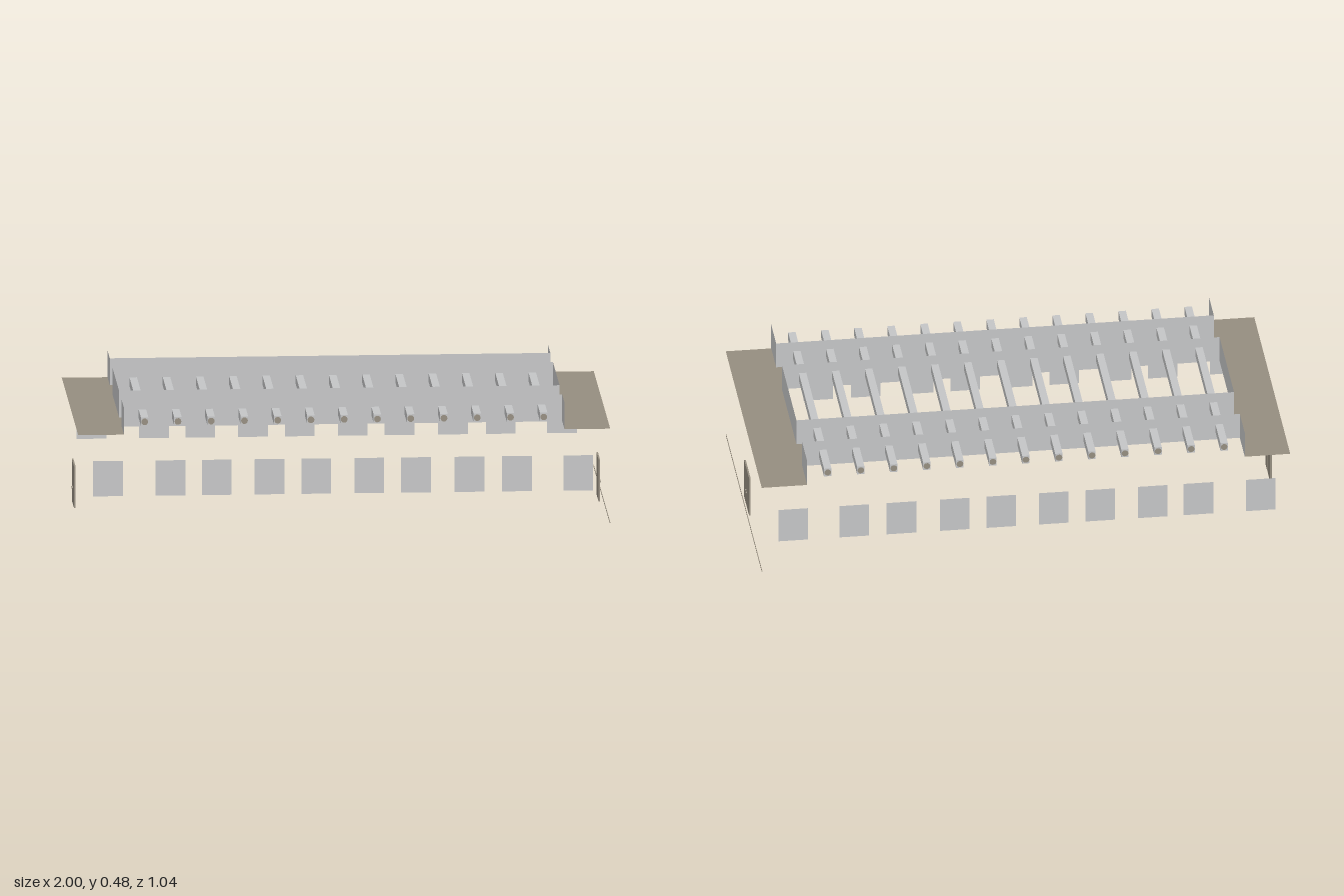
import * as THREE from 'three';

export function createModel() {
  const model = new THREE.Group();
  const tan = new THREE.MeshStandardMaterial({ color: 0x968e80, side: THREE.DoubleSide });
  tan.name = 'warm taupe';
  const grey = new THREE.MeshStandardMaterial({ color: 0xc5c6c7, side: THREE.DoubleSide });
  grey.name = 'light grey';

  const add = (name, geometry, material, x, y, z, ry = 0) => {
    const mesh = new THREE.Mesh(geometry, material);
    mesh.name = name;
    mesh.position.set(x, y, z);
    mesh.rotation.y = ry;
    model.add(mesh);
    return mesh;
  };

  const roofY = 0.375, wallH = 0.103, wallY = roofY + wallH / 2;
  const endX = 0.828, depth = 0.522, inner = 0.21, outer = 0.377;

  // Flat roof sheet: broad ends joined by two long strips
  const quarter = [[1, depth], [endX, depth], [endX, outer]];
  const flip = (points, sx, sy) => points.map(([x, y]) => new THREE.Vector2(x * sx, y * sy));
  const roof = new THREE.Shape([
    ...flip(quarter, 1, 1), ...flip(quarter, -1, 1).reverse(),
    ...flip(quarter, -1, -1), ...flip(quarter, 1, -1).reverse(),
  ]);
  roof.holes.push(new THREE.Path(flip([[1, 1], [1, -1], [-1, -1], [-1, 1]], endX, inner)));
  add('roofSheet', new THREE.ShapeGeometry(roof).rotateX(-Math.PI / 2), tan, 0, roofY, 0);

  // Upright walls along the strips and around the openings
  const longWall = new THREE.PlaneGeometry(endX * 2, wallH);
  const middleWall = new THREE.PlaneGeometry(inner * 2, wallH);
  const cornerWall = new THREE.PlaneGeometry(depth - outer, wallH);
  for (const s of [-1, 1]) {
    for (const z of [inner, outer]) add('longWall', longWall, grey, 0, wallY, s * z, s > 0 ? 0 : Math.PI);
    add('openingEndWall', middleWall, grey, s * endX, wallY, 0, s * Math.PI / 2);
    for (const t of [-1, 1]) {
      add('cornerWall', cornerWall, grey, s * endX, wallY, t * (outer + depth) / 2, s * Math.PI / 2);
    }
  }

  // Cross beams passing through the walls, with small round end plates
  const beam = new THREE.BoxGeometry(0.028, 0.033, depth * 2 - 0.002);
  const plate = new THREE.CircleGeometry(0.013, 10);
  for (let i = -6; i <= 6; i++) {
    const x = i * 0.125;
    add('crossBeam', beam, grey, x, 0.423, 0);
    for (const s of [-1, 1]) add('beamEndPlate', plate, tan, x, 0.423, s * depth, s > 0 ? 0 : Math.PI);
  }

  // Window panes on the front and back
  const pane = new THREE.PlaneGeometry(0.112, 0.135);
  for (const x of [-0.888, -0.653, -0.479, -0.281, -0.105, 0.094, 0.27, 0.471, 0.65, 0.88]) {
    for (const s of [-1, 1]) add('windowPane', pane, grey, x, 0.207, s * depth, s > 0 ? 0 : Math.PI);
  }

  // Double doors at each end
  const leaf = new THREE.BoxGeometry(0.006, 0.16, 0.07);
  const knob = new THREE.SphereGeometry(0.004, 8, 6);
  for (const s of [-1, 1]) {
    for (const t of [-1, 1]) {
      add('doorLeaf', leaf, tan, s * 0.986, 0.08, t * 0.036);
      add('doorKnob', knob, tan, s * 0.991, 0.065, t * 0.01);
    }
  }

  // Thin sill line at the left end
  add('sillLine', new THREE.BoxGeometry(0.002, 0.004, depth * 2), tan, 0.999, 0.015, 0);

  return model;
}
